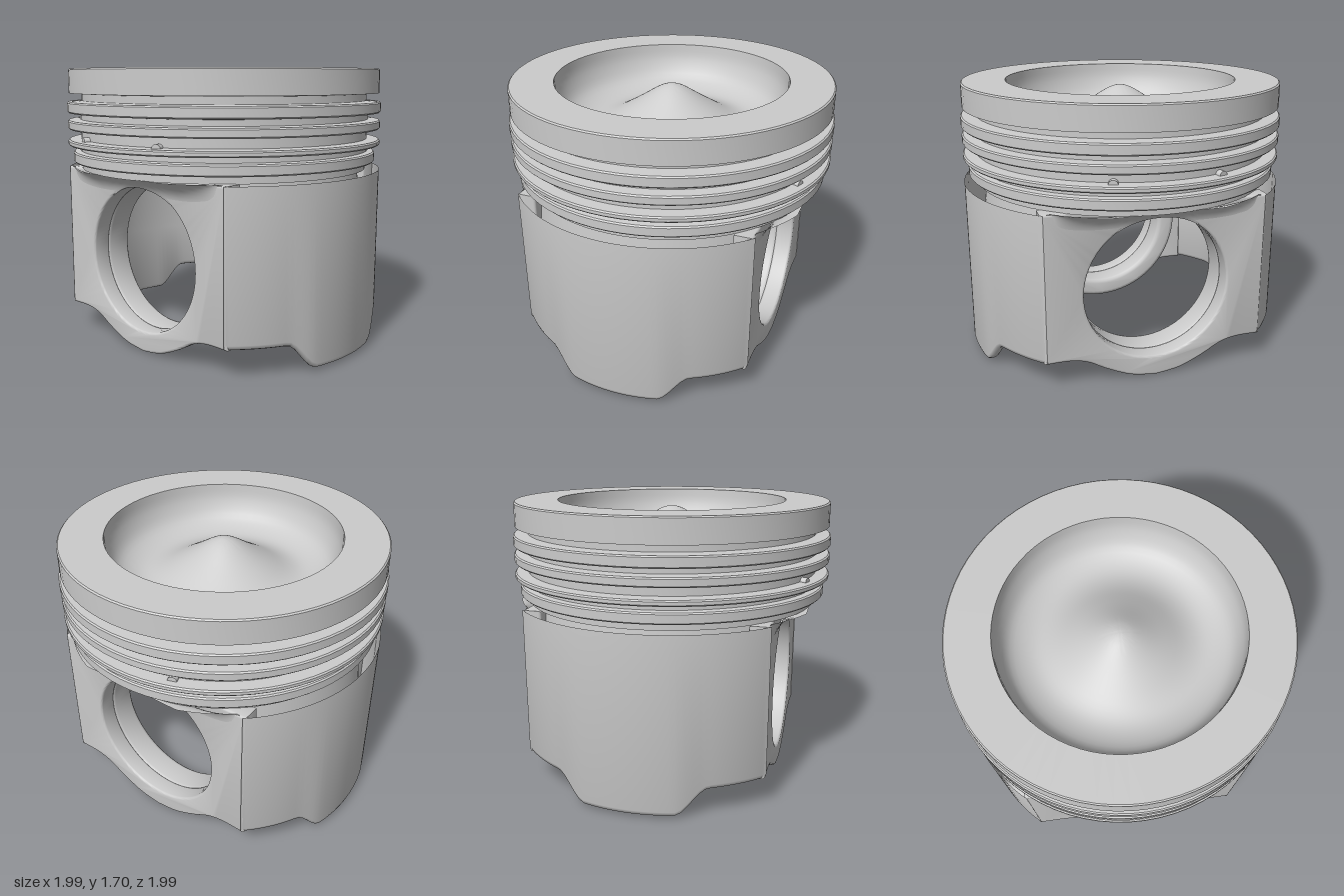
import * as THREE from 'three';
import { toCreasedNormals } from 'three/addons/utils/BufferGeometryUtils.js';

const material = new THREE.MeshStandardMaterial({ color: 0xcccccc, side: THREE.DoubleSide });
const V2 = (x, y) => new THREE.Vector2(x, y);
const BORE_Y = 0.575, BORE_R = 0.44;

function add(parent, name, geometry, crease = 0.6) {
  const mesh = new THREE.Mesh(toCreasedNormals(geometry, crease), material);
  mesh.name = name;
  parent.add(mesh);
  return mesh;
}

// Surface through rows of points: fn(u index, v index) -> [x, y, z]
function grid(nu, nv, fn) {
  const pos = [], idx = [];
  for (let i = 0; i <= nu; i++) for (let j = 0; j <= nv; j++) pos.push(...fn(i, j));
  for (let i = 0; i < nu; i++) for (let j = 0; j < nv; j++) {
    const a = i * (nv + 1) + j, b = a + nv + 1;
    idx.push(a, b, a + 1, b, b + 1, a + 1);
  }
  const g = new THREE.BufferGeometry();
  g.setAttribute('position', new THREE.Float32BufferAttribute(pos, 3));
  g.setIndex(idx);
  g.computeVertexNormals();
  return g;
}

// Crown: underside, ring grooves and lands, flat rim, combustion bowl
function crownGeometry() {
  const profile = [[0, 1.2], [0.45, 1.18], [0.7, 1.15], [0.79, 1.085], [0.91, 1.085], [0.91, 1.125]];
  // lands: bottom, top, radius, depth of the groove above
  const lands = [[1.13, 1.195, 0.965, 0.92], [1.235, 1.27, 0.995, 0.915], [1.335, 1.39, 0.995, 0.92], [1.435, 1.503, 0.997, 0.907]];
  for (const [y0, y1, r, groove] of lands) {
    profile.push([r - 0.008, y0], [r, y0 + 0.008], [r, y1 - 0.008], [r - 0.008, y1], [groove, y1 + 0.005]);
    const next = lands.find((l) => l[0] > y1);
    profile.push([groove, next ? next[0] - 0.005 : 1.55]);
  }
  profile.push([0.985, 1.555], [0.985, 1.695], [0.977, 1.703], [0.715, 1.703]);
  const bowl = new THREE.SplineCurve([
    V2(0.715, 1.703), V2(0.7, 1.6), V2(0.64, 1.49), V2(0.52, 1.435),
    V2(0.4, 1.45), V2(0.25, 1.53), V2(0.1, 1.625), V2(0.04, 1.652), V2(0, 1.66),
  ]);
  const pts = profile.map(([r, y]) => V2(r, y)).concat(bowl.getPoints(32).slice(1));
  pts[pts.length - 1].x = 0;
  return new THREE.LatheGeometry(pts, 72);
}

// Skirt: curved wall with a tab hanging down in the middle
function skirtGeometry() {
  const half = THREE.MathUtils.degToRad(48.2);
  return grid(48, 8, (i, j) => {
    const a = half * (1 - i / 24);
    const b = 0.02 + 0.16 * THREE.MathUtils.smoothstep(Math.abs(Math.sin(a)), 0.27, 0.46);
    const section = [
      [0.86, 1.085], [0.92, 0.5], [0.925, b + 0.03], [0.935, b + 0.008], [0.955, b],
      [0.975, b], [0.99, b + 0.008], [0.997, b + 0.03], [0.997, 1.085],
    ];
    const [r, y] = section[j];
    return [r * Math.cos(a), y, r * Math.sin(a)];
  });
}

function extrudeWithBore(shape, z0, z1, bevel) {
  const hole = new THREE.Path();
  hole.absarc(0, BORE_Y, BORE_R, 0, Math.PI * 2, true);
  shape.holes.push(hole);
  const g = new THREE.ExtrudeGeometry(shape, {
    depth: z1 - z0 - 2 * bevel, curveSegments: 48, bevelThickness: bevel,
    bevelSize: bevel, bevelOffset: -bevel, bevelSegments: 3,
  });
  return g.translate(0, 0, z0 + bevel);
}

// Flat side wall with the wavy lower edge
function panelShape() {
  const right = new THREE.SplineCurve([
    V2(0, 0.005), V2(0.15, 0.027), V2(0.3, 0.09), V2(0.42, 0.155), V2(0.53, 0.18), V2(0.68, 0.18),
  ]).getPoints(24);
  const left = right.slice(1).reverse().map((p) => V2(-p.x, p.y));
  return new THREE.Shape([...left, ...right, V2(0.68, 1.087), V2(-0.68, 1.087)]);
}

// Thick pin boss behind the wall
function bossShape() {
  const s = new THREE.Shape();
  s.absarc(0, BORE_Y, 0.565, Math.PI, Math.PI * 2, false);
  s.lineTo(0.5, 1.18);
  s.lineTo(-0.5, 1.18);
  return s;
}

// Concave blend from the flat wall out to the crown, notched by the bore
function filletGeometry() {
  const top = 1.088, h = 0.15, face = 0.733;
  return grid(64, 10, (i, j) => {
    const x = -0.64 + 1.28 * i / 64;
    const reach = Math.max(0, Math.min(0.9, Math.sqrt(0.96 ** 2 - x * x)) - face);
    const bore = Math.abs(x) < BORE_R ? BORE_Y + Math.sqrt(BORE_R ** 2 - x * x) : 0;
    const start = Math.max(top - h, bore);
    if (j === 0) return [x, start, 0.715];
    const t0 = Math.asin(1 - (top - start) / h);
    const t = t0 + (Math.PI / 2 - t0) * (j - 1) / 9;
    return [x, top - h * (1 - Math.sin(t)), face + reach * (1 - Math.cos(t))];
  });
}

export function createModel() {
  const model = new THREE.Group();
  model.name = 'piston';
  add(model, 'crown', crownGeometry());

  for (const turn of [0, Math.PI]) {
    const side = new THREE.Group();
    side.name = turn ? 'backAndRightSide' : 'frontAndLeftSide';
    side.rotation.y = turn;
    model.add(side);
    add(side, 'skirt', skirtGeometry(), 0.9);
    add(side, 'sideWall', extrudeWithBore(panelShape(), 0.62, 0.738, 0.015));
    add(side, 'pinBoss', extrudeWithBore(bossShape(), 0.45, 0.635, 0.03));
    add(side, 'crownFillet', filletGeometry());
    // Small oil drain bushes in the lower ring groove
    for (const x of [-0.305, 0.305]) {
      const bush = add(side, 'oilDrain', new THREE.CylinderGeometry(0.028, 0.028, 0.06, 20));
      const a = Math.asin(x / 0.92);
      bush.position.set(x, 1.27, 0.92 * Math.cos(a));
      bush.rotation.set(Math.PI / 2, 0, -a);
    }
  }
  return model;
}
